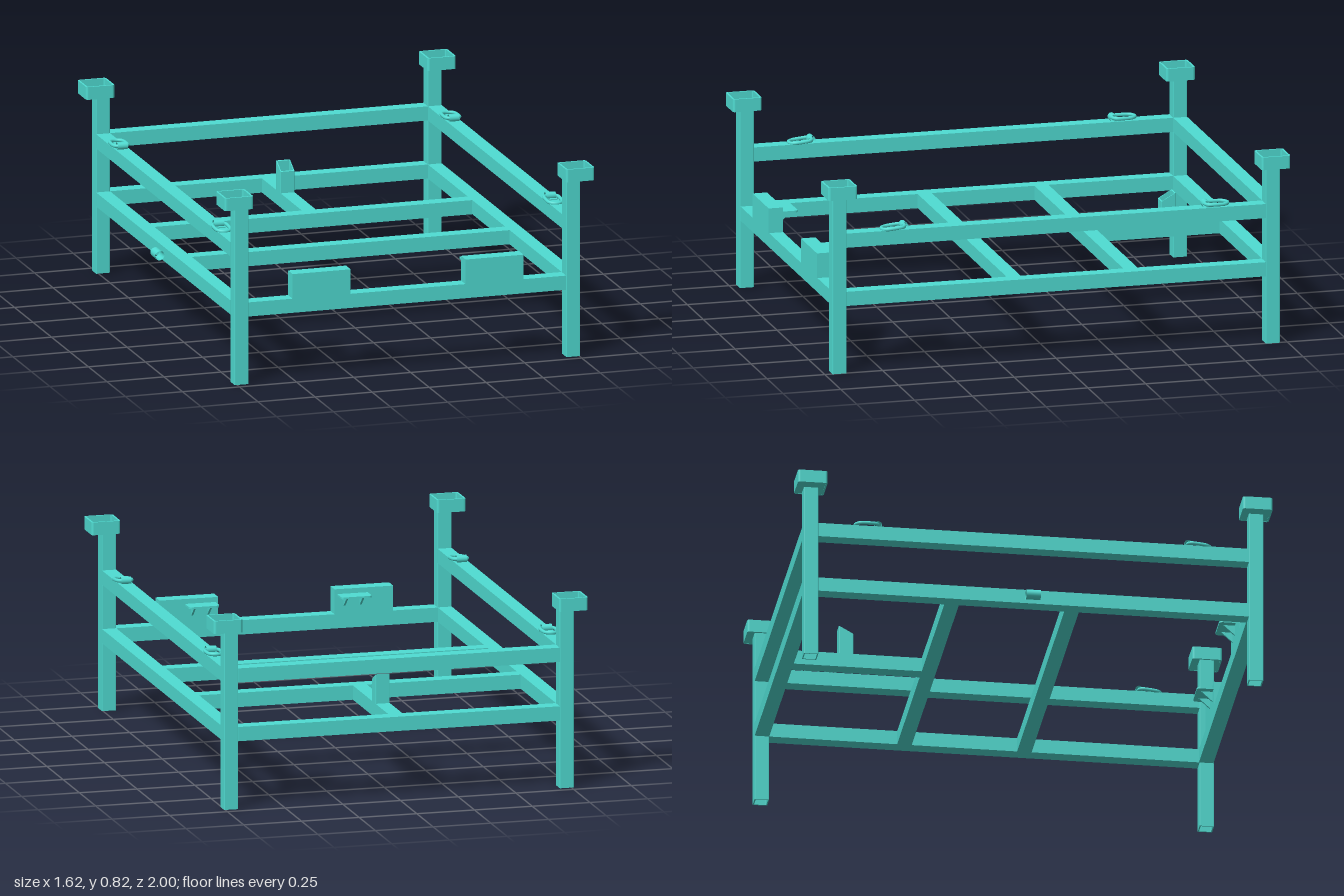
import * as THREE from 'three';

const material = new THREE.MeshStandardMaterial({ color: 0x4fdcd2 });
const twoSided = new THREE.MeshStandardMaterial({ color: 0x4fdcd2, side: THREE.DoubleSide });

const POST_X = [-0.73, 0.724], POST_Z = 0.937, BAR = 0.061;
const LOW_Y = 0.321, HIGH_Y = 0.572;
const MID_X = (POST_X[0] + POST_X[1]) / 2;
const SPAN_X = POST_X[1] - POST_X[0] - BAR, SPAN_Z = POST_Z * 2 - BAR;

function add(parent, name, geometry, x = 0, y = 0, z = 0, mat = material) {
  const mesh = new THREE.Mesh(geometry, mat);
  mesh.name = name;
  mesh.position.set(x, y, z);
  parent.add(mesh);
  return mesh;
}

const box = (w, h, d) => new THREE.BoxGeometry(w, h, d);

// Square outline with small rounded corners
function squarePath(size, r, PathType = THREE.Shape) {
  const h = size / 2, p = new PathType();
  p.absarc(h - r, h - r, r, 0, Math.PI / 2);
  p.absarc(-h + r, h - r, r, Math.PI / 2, Math.PI);
  p.absarc(-h + r, -h + r, r, Math.PI, Math.PI * 1.5);
  p.absarc(h - r, -h + r, r, Math.PI * 1.5, Math.PI * 2);
  p.closePath();
  return p;
}

// Hollow square tube standing on y = 0
function squareTube(size, wall, height, r = 0.003) {
  const shape = squarePath(size, r);
  shape.holes.push(squarePath(size - wall * 2, r * 0.6, THREE.Path));
  const g = new THREE.ExtrudeGeometry(shape, { depth: height, bevelEnabled: false, curveSegments: 3 });
  return g.rotateX(-Math.PI / 2);
}

// Corner post with an open stacking cup, set slightly outward
function corner(x, z) {
  const g = new THREE.Group();
  g.name = 'cornerPost';
  add(g, 'post', squareTube(BAR, 0.005, 0.765), x, 0, z);
  const cupX = x + Math.sign(x) * 0.021;
  add(g, 'cupWall', squareTube(0.125, 0.008, 0.055, 0.01), cupX, 0.763, z);
  add(g, 'cupFloor', box(0.112, 0.008, 0.112), cupX, 0.768, z);
  return g;
}

// Lashing ring lying on the upper rail, with its clip at the inner end
function lashingRing(x, side) {
  const g = new THREE.Group();
  g.name = 'lashingRing';
  const w = 0.031, pts = [];
  for (let i = 0; i <= 8; i++) {
    const a = (i / 8) * Math.PI;
    pts.push(new THREE.Vector3(w * Math.cos(a), 0, 0.067 + w * Math.sin(a)));
  }
  for (let i = 0; i <= 6; i++) {
    const a = Math.PI + (i / 6) * Math.PI;
    pts.push(new THREE.Vector3(w * Math.cos(a), 0, 0.02 + 0.02 * Math.sin(a)));
  }
  const curve = new THREE.CatmullRomCurve3(pts, true);
  const ring = add(g, 'ring', new THREE.TubeGeometry(curve, 48, 0.008, 8, true));
  ring.rotation.x = side > 0 ? 0.1 : 0;
  const clip = new THREE.CylinderGeometry(0.016, 0.016, 0.044, 16, 1, true).rotateZ(Math.PI / 2);
  add(g, 'clip', clip, 0, 0, 0.003, twoSided);
  add(g, 'clipFoot', box(0.044, 0.006, 0.03), 0, -0.011, 0.018);
  g.position.set(x, 0.615, side * 0.65);
  if (side < 0) g.rotation.y = Math.PI;
  return g;
}

// Front stop block with a rounded shelf tab and two gussets behind it
function stopBlock(side) {
  const g = new THREE.Group();
  g.name = 'stopBlock';
  add(g, 'block', box(0.254, 0.107, 0.063), side * 0.379, 0.4045, 0.935);

  const w = 0.066, r = 0.016, depth = 0.07;
  const s = new THREE.Shape();
  s.moveTo(-w, 0);
  s.lineTo(-w, depth - r);
  s.quadraticCurveTo(-w, depth, -w + r, depth);
  s.lineTo(w - r, depth);
  s.quadraticCurveTo(w, depth, w, depth - r);
  s.lineTo(w, 0);
  const tab = new THREE.ExtrudeGeometry(s, { depth: 0.008, bevelEnabled: false, curveSegments: 5 });
  add(g, 'tab', tab.rotateX(-Math.PI / 2), side * 0.33, 0.429, 0.905);

  const t = new THREE.Shape([[0, 0], [0, -0.045], [0.05, 0]].map(p => new THREE.Vector2(...p)));
  for (const dx of [-0.035, 0.035]) {
    const gusset = new THREE.ExtrudeGeometry(t, { depth: 0.008, bevelEnabled: false });
    gusset.translate(0, 0, -0.004).rotateY(Math.PI / 2);
    add(g, 'gusset', gusset, side * 0.33 + dx, 0.43, 0.904);
  }
  return g;
}

export function createModel() {
  const model = new THREE.Group();
  model.name = 'stackingRack';

  // Posts, side rails and lashing rings
  for (const x of POST_X) {
    for (const side of [-1, 1]) {
      model.add(corner(x, side * POST_Z));
      model.add(lashingRing(x, side));
    }
    add(model, 'lowerSideRail', box(BAR, BAR, SPAN_Z), x, LOW_Y, 0);
    add(model, 'upperSideRail', box(BAR, BAR, SPAN_Z), x, HIGH_Y, 0);
  }

  // Rails across the width; the front stays open at the upper level
  const across = [
    ['frontRail', LOW_Y, 0.934], ['backRail', LOW_Y, -POST_Z], ['upperBackRail', HIGH_Y, -POST_Z],
    ['frontCrossRail', LOW_Y, 0.168], ['backCrossRail', LOW_Y, -0.337],
  ];
  for (const [name, y, z] of across) add(model, name, box(SPAN_X, BAR, BAR), MID_X, y, z);

  // Centre bar carrying a slant-cut hollow stub
  add(model, 'centreBar', box(BAR, BAR, 0.54), MID_X, LOW_Y, -0.637);
  const stub = squareTube(BAR, 0.004, 0.11);
  const p = stub.attributes.position;
  for (let i = 0; i < p.count; i++) {
    if (p.getY(i) > 0.05) p.setY(i, 0.11 - p.getZ(i) * 0.56);
  }
  stub.computeVertexNormals();
  add(model, 'slantedStub', stub, MID_X, 0.351, -0.686);

  // Front stops
  for (const side of [-1, 1]) model.add(stopBlock(side));

  // Short sleeve on the outside of the right lower rail
  const sleeve = new THREE.CylinderGeometry(0.021, 0.021, 0.06, 20, 1, true).rotateX(Math.PI / 2);
  add(model, 'sideSleeve', sleeve, -0.784, 0.32, -0.005, twoSided);
  const inner = new THREE.CylinderGeometry(0.018, 0.018, 0.06, 20, 1, true).rotateX(Math.PI / 2);
  add(model, 'sleeveBore', inner, -0.784, 0.32, -0.005, twoSided);

  return model;
}
